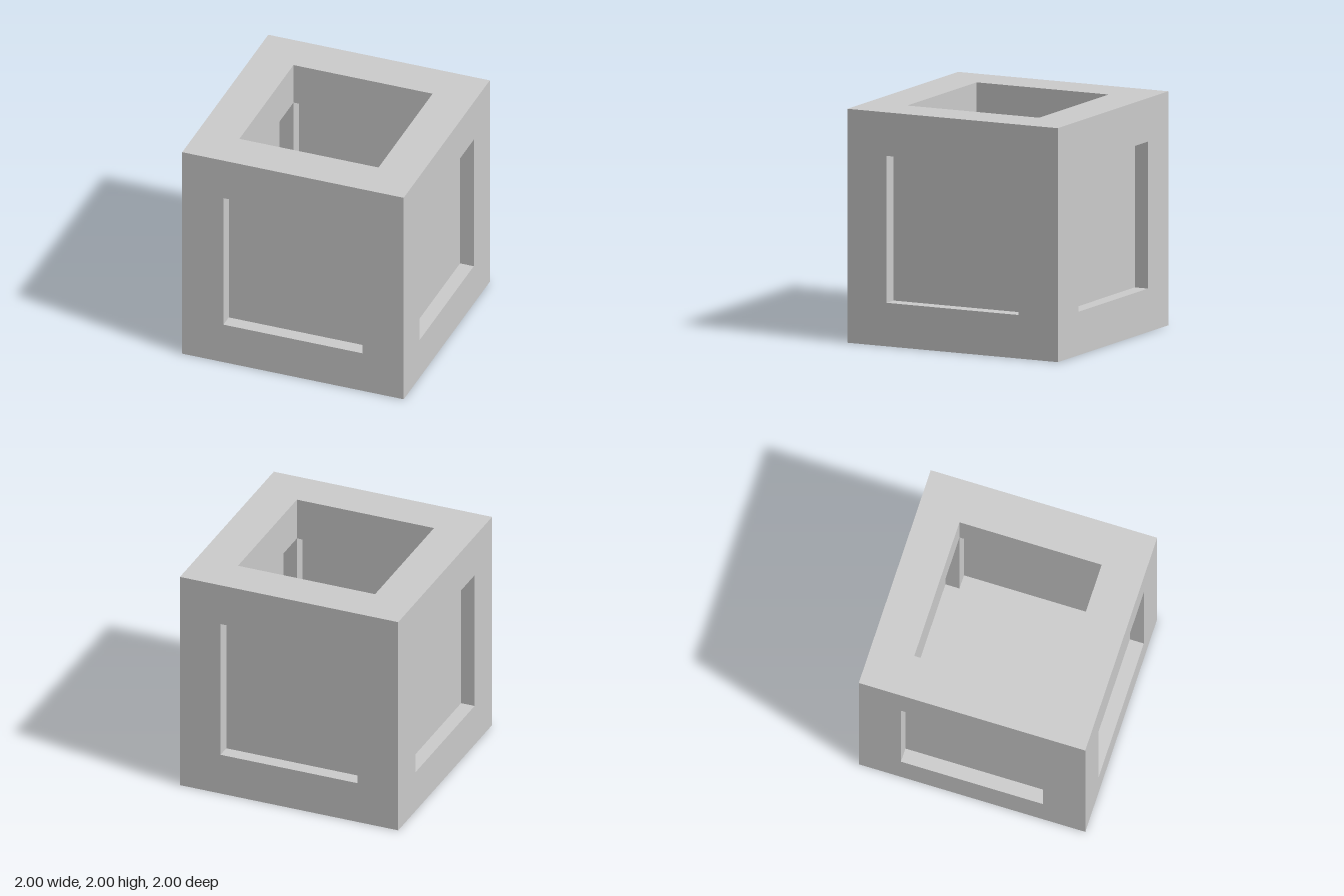
import * as THREE from 'three';

const HALF = 1;        // half the cube
const OPEN = 0.628;    // half the square openings
const WALL = HALF - OPEN;
const STEP = WALL / 3; // recess depth and panel thickness

const material = new THREE.MeshStandardMaterial({ color: 0xcccccc, flatShading: true });

function add(parent, name, geometry) {
  const mesh = new THREE.Mesh(geometry, material);
  mesh.name = name;
  parent.add(mesh);
  return mesh;
}

function square(half, Type) {
  return new Type()
    .moveTo(-half, -half).lineTo(half, -half).lineTo(half, half).lineTo(-half, half).closePath();
}

// Outer face at z = HALF with a square opening
function addFrameFace(parent) {
  const shape = square(HALF, THREE.Shape);
  shape.holes.push(square(OPEN, THREE.Path));
  add(parent, 'frameFace', new THREE.ShapeGeometry(shape).translate(0, 0, HALF));
}

// Four strips lining the opening between two depths, facing inward
function addReveal(parent, name, zNear, zFar) {
  for (let i = 0; i < 4; i++) {
    const strip = new THREE.PlaneGeometry(2 * OPEN, zNear - zFar)
      .rotateX(-Math.PI / 2)
      .translate(0, -OPEN, (zNear + zFar) / 2)
      .rotateZ(i * Math.PI / 2);
    add(parent, name, strip);
  }
}

export function createModel() {
  const model = new THREE.Group();
  model.name = 'openCubeBox';
  const body = new THREE.Group();
  body.name = 'body';
  body.position.y = HALF;
  model.add(body);

  // Four sides: frame, recess outside and inside, panel between
  for (let i = 0; i < 4; i++) {
    const side = new THREE.Group();
    side.name = 'side';
    side.rotation.y = i * Math.PI / 2;
    body.add(side);
    addFrameFace(side);
    addReveal(side, 'outerRecess', HALF, HALF - STEP);
    addReveal(side, 'innerRecess', HALF - 2 * STEP, OPEN);
    add(side, 'panelFront', new THREE.PlaneGeometry(2 * OPEN, 2 * OPEN).translate(0, 0, HALF - STEP));
    add(side, 'panelBack', new THREE.PlaneGeometry(2 * OPEN, 2 * OPEN)
      .rotateY(Math.PI).translate(0, 0, HALF - 2 * STEP));
  }

  // Open top
  const top = new THREE.Group();
  top.name = 'top';
  top.rotation.x = -Math.PI / 2;
  body.add(top);
  addFrameFace(top);
  addReveal(top, 'topOpening', HALF, OPEN);

  // Inner floor and plain underside
  add(body, 'floor', new THREE.PlaneGeometry(2 * OPEN, 2 * OPEN)
    .rotateX(-Math.PI / 2).translate(0, -OPEN, 0));
  add(body, 'underside', new THREE.PlaneGeometry(2 * HALF, 2 * HALF)
    .rotateX(Math.PI / 2).translate(0, -HALF, 0));

  return model;
}
